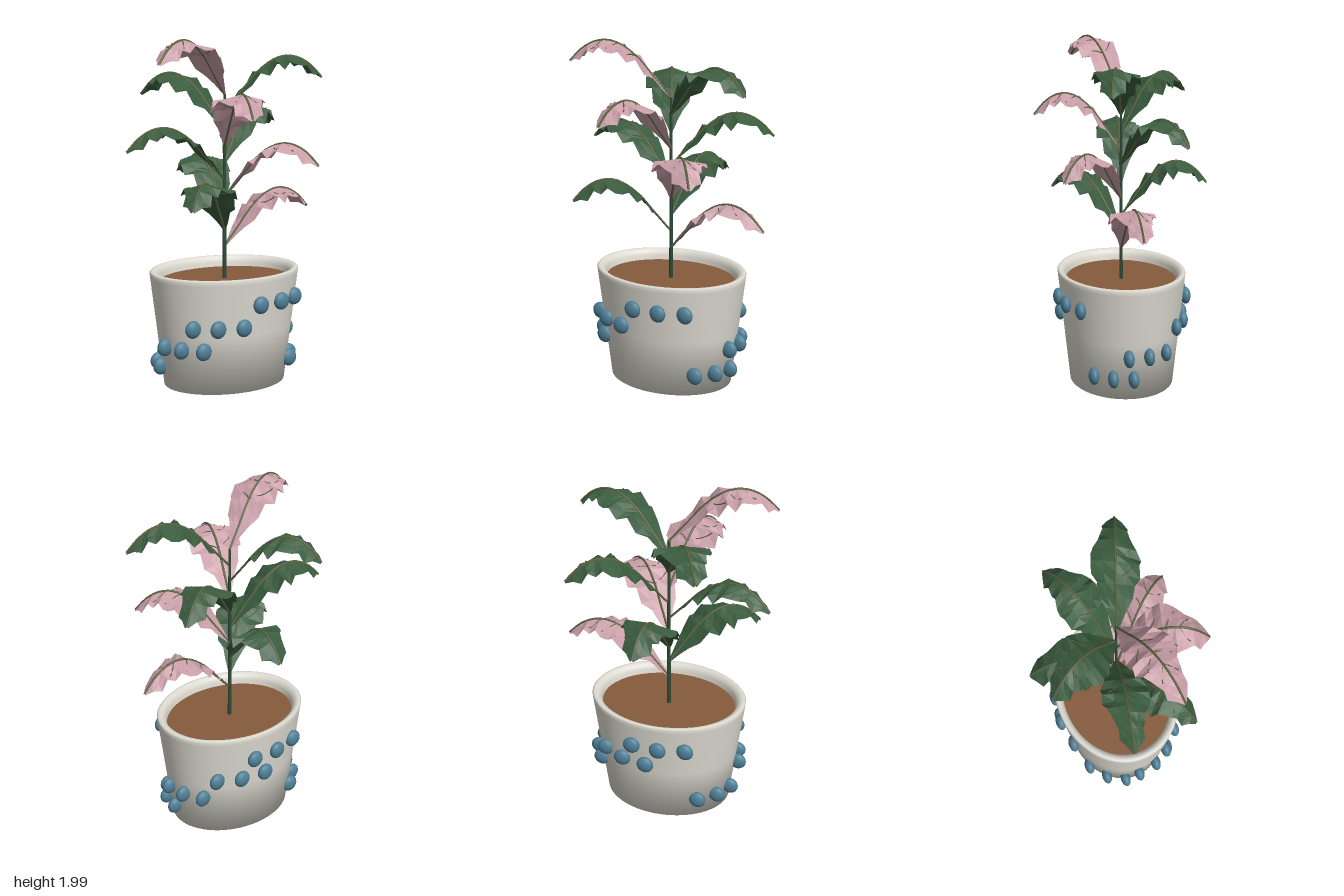
import * as THREE from 'three';

const mat = (name, color, extra = {}) => {
  const m = new THREE.MeshStandardMaterial({ color, ...extra });
  m.name = name;
  return m;
};

export function createModel() {
  const leafOptions = { flatShading: true, side: THREE.DoubleSide };
  const ceramic = mat('ceramic', 0xdedcd2);
  const soilBrown = mat('soilBrown', 0x865a3c);
  const beadBlue = mat('beadBlue', 0x4f7f96);
  const leafGreen = mat('leafGreen', 0x3a5c3f, leafOptions);
  const leafPink = mat('leafPink', 0xc99fa8, leafOptions);
  const veinOlive = mat('veinOlive', 0x5c6440);
  const stemGreen = mat('stemGreen', 0x2f4a36);

  const root = new THREE.Group();
  root.name = 'pottedPlant';
  // the whole plant and pot are oval in plan
  const oval = new THREE.Group();
  oval.name = 'ovalBody';
  oval.scale.z = 0.8;
  root.add(oval);

  const add = (parent, name, geometry, material) => {
    const mesh = new THREE.Mesh(geometry, material);
    mesh.name = name;
    parent.add(mesh);
    return mesh;
  };

  // Pot with a rolled rim
  const profile = [
    [0, 0], [0.375, 0], [0.418, 0.33], [0.458, 0.635], [0.461, 0.658], [0.453, 0.667],
    [0.435, 0.667], [0.415, 0.655], [0.403, 0.63], [0.395, 0.57],
  ].map(([x, y]) => new THREE.Vector2(x, y));
  add(oval, 'pot', new THREE.LatheGeometry(profile, 64), ceramic);
  const soil = add(oval, 'soil', new THREE.CylinderGeometry(0.4, 0.39, 0.03, 48), soilBrown);
  soil.position.y = 0.59;

  // Rows of beads climbing around the pot: height, first angle, direction is always -20 degrees
  const beadGeometry = new THREE.SphereGeometry(0.05, 20, 14);
  const beadRows = [
    [0.13, 42], [0.26, 7], [0.39, -46], [0.513, -76],
    [0.13, 231], [0.26, 177], [0.39, 145], [0.513, 92],
  ];
  for (const [y, start] of beadRows) {
    const r = 0.395 + 0.13 * y;
    for (let k = 0; k < 3; k++) {
      const a = THREE.MathUtils.degToRad(start - 20 * k);
      const bead = add(oval, 'bead', beadGeometry, beadBlue);
      bead.position.set(r * Math.cos(a), y, r * Math.sin(a));
      bead.scale.z = 0.75;
    }
  }

  // Stem
  const stem = add(oval, 'stem', new THREE.CylinderGeometry(0.008, 0.013, 1.08, 8), stemGreen);
  stem.position.y = 1.13;

  // Leaf shape: arching midrib and half widths along its reach
  const rib = new THREE.CatmullRomCurve3([
    [0, 0], [0.1, 0.11], [0.2, 0.22], [0.3, 0.29], [0.38, 0.313],
    [0.46, 0.303], [0.54, 0.26], [0.615, 0.187],
  ].map(([x, y]) => new THREE.Vector3(x, y, 0)));
  const widths = [
    [0, 0.008], [0.08, 0.055], [0.15, 0.105], [0.22, 0.14], [0.3, 0.165], [0.36, 0.155],
    [0.42, 0.115], [0.47, 0.09], [0.54, 0.08], [0.585, 0.045], [0.62, 0.004],
  ];
  const halfWidth = (x) => {
    const i = Math.max(1, widths.findIndex(([r]) => r >= x));
    const [[x0, w0], [x1, w1]] = [widths[i - 1], widths[i]];
    return w0 + (w1 - w0) * (x - x0) / (x1 - x0);
  };
  // Point on the blade: t along the rib, s across from -1 to 1
  const blade = (t, s) => {
    const p = rib.getPoint(t);
    const edge = Math.abs(s);
    const ruffle = Math.sin(t * 38 + (s > 0 ? 0.8 : 0));
    const w = halfWidth(Math.min(p.x, 0.62)) * (1 + 0.07 * ruffle * edge);
    const droop = w * edge * (-0.05 + 0.65 * t + 0.16 * ruffle);
    return new THREE.Vector3(p.x, p.y - droop, s * w);
  };
  const rows = 14, cols = 4;
  const positions = [], index = [];
  for (let i = 0; i <= rows; i++) {
    for (let j = 0; j <= cols; j++) {
      positions.push(...blade(i / rows, (2 * j) / cols - 1).toArray());
      if (i < rows && j < cols) {
        const a = i * (cols + 1) + j, b = a + cols + 1;
        index.push(a, a + 1, b, a + 1, b + 1, b);
      }
    }
  }
  const bladeGeometry = new THREE.BufferGeometry();
  bladeGeometry.setAttribute('position', new THREE.Float32BufferAttribute(positions, 3));
  bladeGeometry.setIndex(index);
  bladeGeometry.computeVertexNormals();

  const ribGeometry = new THREE.TubeGeometry(rib, 24, 0.007, 6);
  const veinGeometries = [];
  for (const t of [0.3, 0.46, 0.62]) {
    for (const side of [-1, 1]) {
      const points = [0, 0.25, 0.5, 0.75].map((s) => blade(t + 0.16 * s, s * side));
      veinGeometries.push(new THREE.TubeGeometry(new THREE.CatmullRomCurve3(points), 6, 0.0035, 4));
    }
  }

  // Ten leaves spiralling up the stem, every third one pink
  for (let i = 0; i < 10; i++) {
    const leaf = new THREE.Group();
    leaf.name = 'leaf' + (i + 1);
    leaf.position.y = 0.79 + 0.0975 * i;
    leaf.rotation.y = -THREE.MathUtils.degToRad(137.5 * i);
    add(leaf, 'leafBlade', bladeGeometry, i % 3 === 0 ? leafPink : leafGreen);
    add(leaf, 'midrib', ribGeometry, veinOlive);
    veinGeometries.forEach((g) => add(leaf, 'vein', g, veinOlive));
    oval.add(leaf);
  }
  return root;
}
